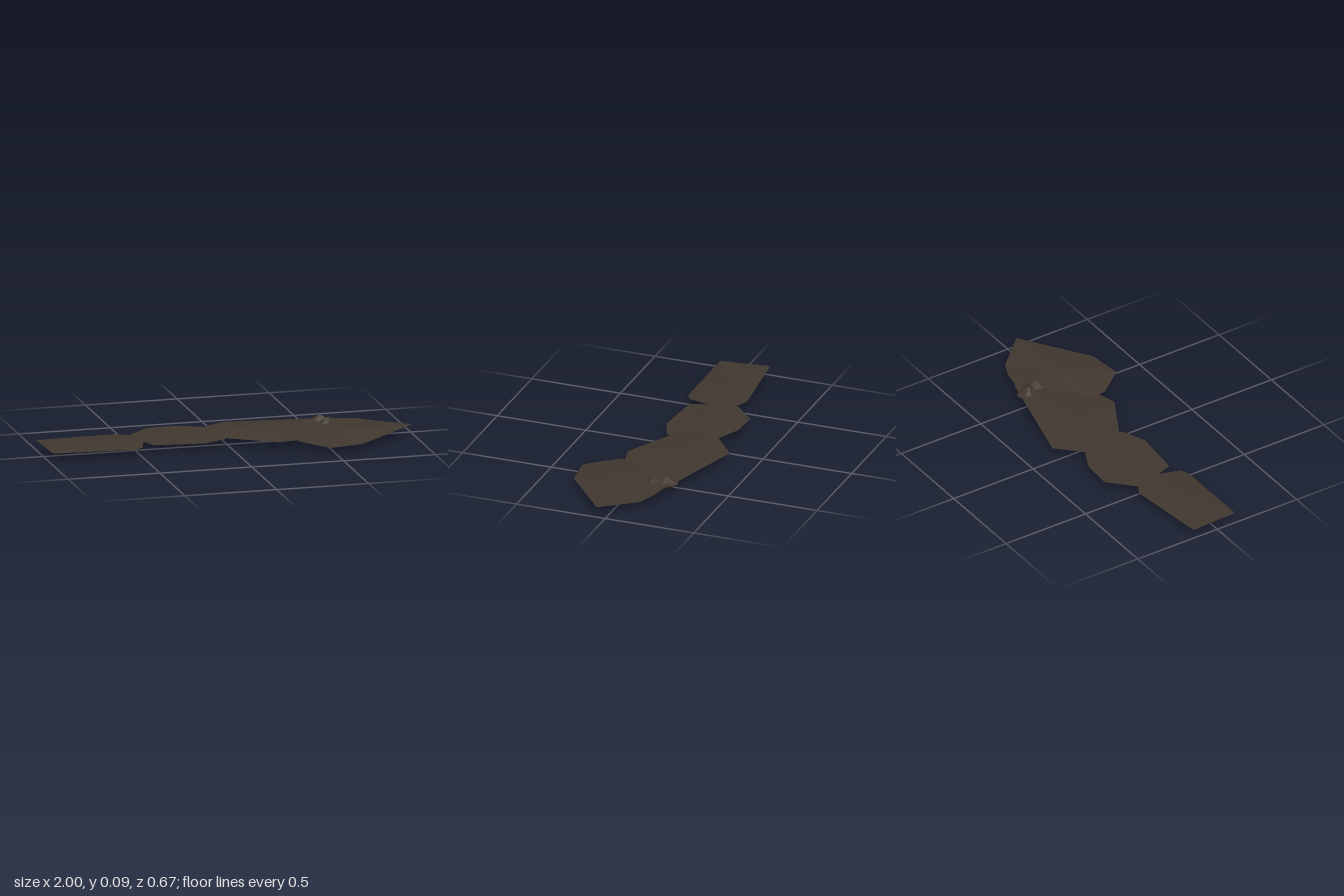
import * as THREE from 'three';

// Faceted flake: an outline of [x, y, z] corners closed by a fan to a top and a bottom peak.
function flake(name, outline, top, bottom, material) {
  const pos = [];
  outline.forEach((a, i) => {
    const b = outline[(i + 1) % outline.length];
    pos.push(...b, ...a, ...top, ...a, ...b, ...bottom);
  });
  const geometry = new THREE.BufferGeometry();
  geometry.setAttribute('position', new THREE.Float32BufferAttribute(pos, 3));
  geometry.computeVertexNormals();
  const mesh = new THREE.Mesh(geometry, material);
  mesh.name = name;
  return mesh;
}

export function createModel() {
  const group = new THREE.Group();
  group.name = 'flatSegmentedStrip';
  const bark = new THREE.MeshStandardMaterial({ color: 0x40372f });
  bark.name = 'darkBrown';
  bark.flatShading = true;

  // Outlines run clockwise as seen from above.
  group.add(flake('endPlate', [
    [-1, 0.052, -0.15], [-0.55, 0.045, -0.195], [-0.495, 0.042, -0.165], [-0.45, 0.042, -0.02],
    [-0.485, 0.04, 0.105], [-0.53, 0.038, 0.13], [-0.98, 0.045, 0.125],
  ], [-0.7, 0.062, -0.02], [-0.62, 0.018, 0.03], bark));

  group.add(flake('secondPlate', [
    [-0.5, 0.042, -0.155], [-0.36, 0.042, -0.288], [-0.2, 0.045, -0.282], [-0.07, 0.045, -0.222],
    [-0.01, 0.042, -0.08], [-0.02, 0.042, 0.05], [-0.15, 0.04, 0.105], [-0.42, 0.042, 0.08],
    [-0.46, 0.042, -0.02],
  ], [-0.24, 0.058, -0.08], [-0.25, 0.024, -0.05], bark));

  group.add(flake('middlePlate', [
    [-0.115, 0.046, -0.185], [0.063, 0.034, -0.338], [0.635, 0.055, -0.2], [0.61, 0.048, -0.08],
    [0.34, 0.036, 0.145], [0.24, 0.036, 0.17], [-0.01, 0.042, 0.035], [-0.09, 0.046, -0.04],
  ], [0.2, 0.07, -0.09], [0.32, 0.023, -0.06], bark));

  group.add(flake('headPlate', [
    [0.34, 0.04, 0.14], [0.46, 0.045, -0.1], [0.6, 0.052, -0.195], [0.73, 0.052, -0.175],
    [0.83, 0.044, -0.13], [0.995, 0.055, 0.05], [0.655, 0.034, 0.312], [0.472, 0.031, 0.335],
    [0.345, 0.036, 0.18],
  ], [0.6, 0.067, 0.08], [0.56, 0.018, 0.06], bark));

  // Two small pointed lumps through the joint between the last plates.
  group.add(flake('rearLump', [
    [0.48, 0.045, -0.19], [0.5, 0.045, -0.22], [0.555, 0.045, -0.235], [0.63, 0.045, -0.17],
    [0.61, 0.045, -0.1], [0.5, 0.045, -0.13],
  ], [0.55, 0.085, -0.166], [0.55, 0.004, -0.166], bark));
  group.add(flake('frontLump', [
    [0.525, 0.045, -0.145], [0.575, 0.045, -0.165], [0.635, 0.045, -0.14], [0.63, 0.045, -0.1],
    [0.57, 0.045, -0.06], [0.525, 0.045, -0.08],
  ], [0.58, 0.086, -0.107], [0.57, 0, -0.112], bark));

  return group;
}
